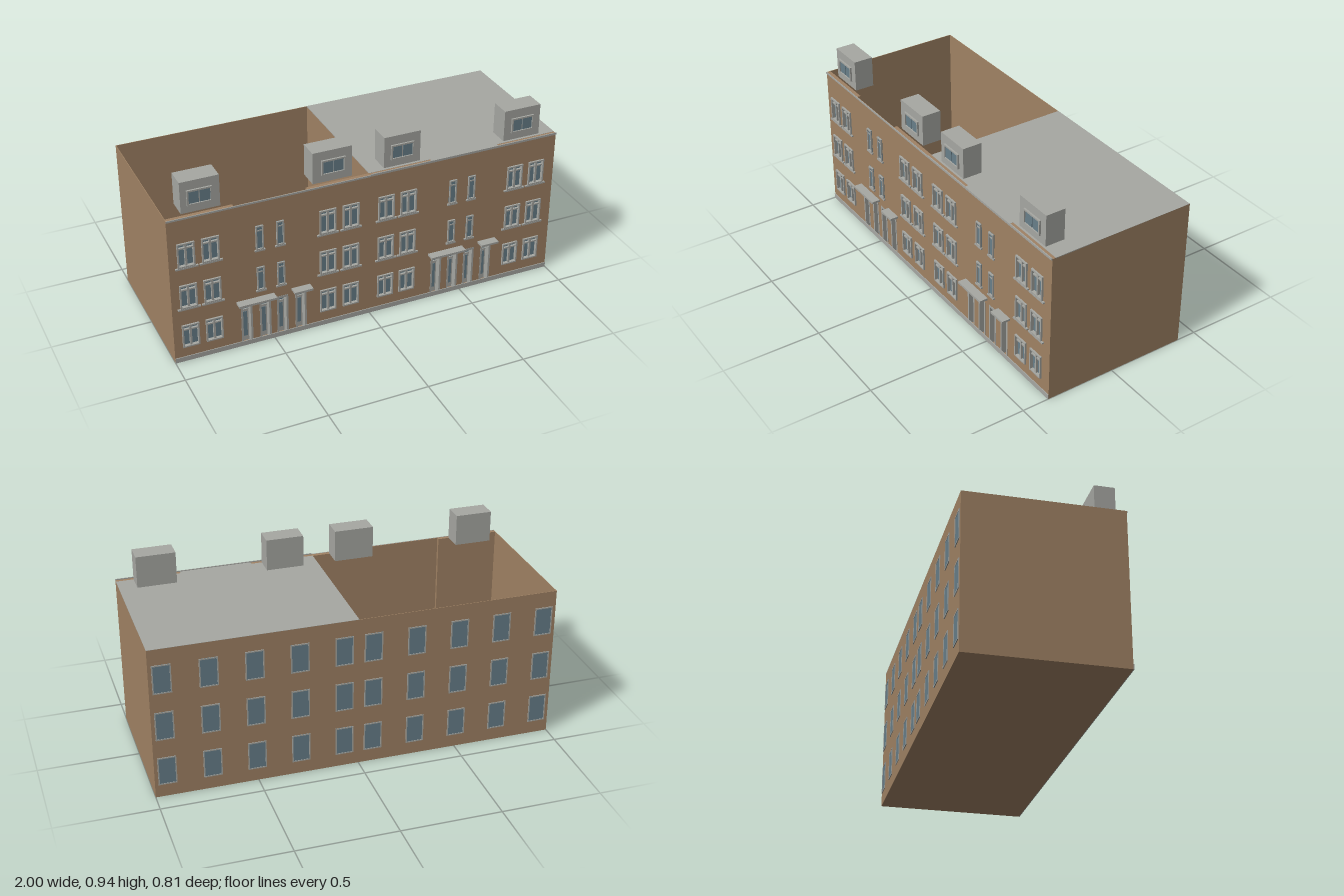
import * as THREE from 'three';

const mat = (name, color, side = THREE.FrontSide) => {
  const m = new THREE.MeshStandardMaterial({ color, side });
  m.name = name;
  return m;
};

export function createModel() {
  const brick = mat('brick', 0xa08264, THREE.DoubleSide);
  const stone = mat('stone', 0xa6a7a2);
  const glass = mat('glass', 0x687f8a);
  const root = new THREE.Group();
  root.name = 'terraceBuilding';

  // Box given by its minimum and maximum corners
  const box = (parent, name, m, x0, x1, y0, y1, z0, z1) => {
    const mesh = new THREE.Mesh(new THREE.BoxGeometry(x1 - x0, y1 - y0, z1 - z0), m);
    mesh.position.set((x0 + x1) / 2, (y0 + y1) / 2, (z0 + z1) / 2);
    mesh.name = name;
    parent.add(mesh);
    return mesh;
  };
  const group = (name) => {
    const g = new THREE.Group();
    g.name = name;
    root.add(g);
    return g;
  };
  // Rectangular ring of bars
  const frame = (g, name, x0, x1, y0, y1, z0, z1, t) => {
    box(g, name, stone, x0, x0 + t, y0, y1, z0, z1);
    box(g, name, stone, x1 - t, x1, y0, y1, z0, z1);
    box(g, name, stone, x0 + t, x1 - t, y0, y0 + t, z0, z1);
    box(g, name, stone, x0 + t, x1 - t, y1 - t, y1, z0, z1);
  };

  const F = 0.36, B = -0.4, H = 0.78, T = 0.003;
  const wide = [-0.917, -0.8, -0.22, -0.101, 0.083, 0.2, 0.78, 0.899];
  const narrow = [-0.562, -0.46, 0.438, 0.54];
  const doors = [-0.637, -0.543, -0.455, -0.361, 0.363, 0.455, 0.545, 0.641];
  const rows = [[0.08, 0.204], [0.298, 0.425], [0.522, 0.65]];
  const WW = 0.042, DW = 0.029, DH = 0.23;

  // Shell: floor, ends, back and the wall between the two halves
  box(root, 'floor', brick, -1, 1, 0, T, B, F);
  box(root, 'backWall', brick, -1, 1, 0, H, B, B + T);
  for (const s of [-1, 1]) {
    box(root, 'endWall', brick, s < 0 ? -1 : 1 - T, s < 0 ? -1 + T : 1, 0, H, B, F);
  }
  box(root, 'partyWall', brick, 0, T, 0, H, B + T, F - 0.02);

  // Front wall: thick bays with window openings, thin entrance bays with door openings
  const bays = [[-1, -0.68, 0], [-0.68, -0.32, 1], [-0.32, 0.32, 0], [0.32, 0.68, 1], [0.68, 1, 0]];
  for (const [x0, x1, entrance] of bays) {
    const rect = (P, a, b, c, d) => {
      const p = new P();
      p.moveTo(a, c); p.lineTo(b, c); p.lineTo(b, d); p.lineTo(a, d); p.closePath();
      return p;
    };
    const shape = rect(THREE.Shape, x0, x1, 0, H);
    const inside = (x) => x > x0 && x < x1;
    if (entrance) {
      for (const x of doors.filter(inside)) {
        shape.holes.push(rect(THREE.Path, x - DW, x + DW, 0.002, DH));
      }
    } else {
      for (const x of wide.filter(inside)) {
        for (const [a, b] of rows) shape.holes.push(rect(THREE.Path, x - WW, x + WW, a, b));
      }
      box(root, 'frontWallLining', brick, x0, x1, 0, H, F - 0.02, F - 0.017);
    }
    const depth = entrance ? T : 0.017;
    const wall = new THREE.Mesh(new THREE.ExtrudeGeometry(shape, { depth, bevelEnabled: false }), brick);
    wall.position.z = F - depth;
    wall.name = entrance ? 'entranceWall' : 'frontWall';
    root.add(wall);
  }

  // Roof over one half, stepping forward above the entrance
  box(root, 'roof', stone, 0, 1, H - T, H + 0.001, B, F - 0.018);
  box(root, 'roofEntranceEdge', stone, 0.32, 0.68, H - T, H + 0.001, F - 0.018, F);
  box(root, 'cornice', stone, -1, 0, H - 0.008, H + 0.001, F, F + 0.004);
  box(root, 'cornice', stone, 0, 1, H - 0.006, H + 0.005, F, F + 0.005);
  box(root, 'plinth', stone, -1, 1, 0, 0.025, F, F + 0.004);

  // Wide front windows with mullion, transom and sill
  for (const x of wide) {
    rows.forEach(([a, b], i) => {
      const g = group('frontWindow');
      box(g, 'pane', glass, x - WW, x + WW, a, b, F - 0.012, F - 0.008);
      frame(g, 'windowFrame', x - WW, x + WW, a, b, F - 0.008, F + 0.009, 0.007);
      box(g, 'mullion', stone, x - 0.005, x + 0.005, a, b, F - 0.008, F + 0.004);
      box(g, 'transom', stone, x - WW, x + WW, b - 0.032, b - 0.025, F - 0.008, F + 0.003);
      if (i) box(g, 'sill', stone, x - 0.055, x + 0.055, a - 0.008, a, F, F + 0.01);
    });
  }

  // Narrow stair windows on the upper floors
  for (const x of narrow) {
    for (const [a, b] of rows.slice(1)) {
      const g = group('stairWindow');
      box(g, 'pane', glass, x - 0.019, x + 0.019, a, b, F, F + 0.002);
      frame(g, 'windowFrame', x - 0.019, x + 0.019, a, b, F, F + 0.009, 0.006);
      box(g, 'transom', stone, x - 0.019, x + 0.019, b - 0.03, b - 0.024, F, F + 0.005);
      box(g, 'sill', stone, x - 0.026, x + 0.026, a - 0.008, a, F, F + 0.01);
    }
  }

  // Recessed doors, each in a small brick box behind the wall
  for (const x of doors) {
    const g = group('doorway');
    const z0 = F - 0.04, z1 = F - T;
    box(g, 'recessBack', brick, x - DW, x + DW, 0, DH, z0, z0 + 0.002);
    box(g, 'recessTop', brick, x - DW, x + DW, DH, DH + 0.002, z0, z1);
    for (const s of [-1, 1]) {
      box(g, 'recessSide', brick, x + s * DW - 0.001, x + s * DW + 0.001, 0, DH, z0, z1);
      box(g, 'doorJamb', stone, x + s * 0.024 - 0.005, x + s * 0.024 + 0.005, 0.002, DH, z0 + 0.002, F + 0.001);
    }
    box(g, 'doorHead', stone, x - 0.019, x + 0.019, DH - 0.012, DH, z0 + 0.002, F + 0.001);
    box(g, 'doorLeaf', stone, x - 0.019, x + 0.019, 0.002, 0.178, z0 + 0.002, z0 + 0.008);
    box(g, 'doorGlass', glass, x - 0.012, x + 0.012, 0.03, 0.17, z0 + 0.008, z0 + 0.01);
    box(g, 'fanlight', glass, x - 0.019, x + 0.019, 0.186, 0.218, z0 + 0.002, z0 + 0.006);
    box(g, 'doorTransom', stone, x - 0.019, x + 0.019, 0.178, 0.186, z0 + 0.002, z0 + 0.012);
  }
  for (const [a, b] of [[-0.687, -0.497], [-0.408, -0.313], [0.317, 0.505], [0.594, 0.69]]) {
    box(root, 'canopy', stone, a, b, 0.247, 0.258, F, F + 0.044);
  }

  // Rooftop dormers with paired panes
  for (const [a, b, c] of [[-0.92, -0.733, -0.83], [-0.283, -0.085, -0.18], [0.08, 0.268, 0.174], [0.72, 0.915, 0.818]]) {
    const g = group('dormer');
    box(g, 'dormerBody', stone, a, b, 0.785, 0.945, 0.235, 0.335);
    frame(g, 'dormerFrame', c - 0.06, c + 0.06, 0.822, 0.9, 0.335, 0.344, 0.008);
    for (const s of [-1, 1]) {
      box(g, 'dormerPane', glass, c + s * 0.0275 - 0.0245, c + s * 0.0275 + 0.0245, 0.83, 0.892, 0.335, 0.338);
    }
  }

  // Back windows, mirrored about the middle
  for (const cx of [0.072, 0.288, 0.504, 0.72, 0.938]) {
    for (const s of [-1, 1]) {
      for (const [a, b] of [[0.066, 0.212], [0.308, 0.455], [0.552, 0.7]]) {
        const g = group('backWindow'), x = cx * s;
        box(g, 'pane', glass, x - 0.043, x + 0.043, a, b, B - 0.002, B);
        frame(g, 'windowFrame', x - 0.045, x + 0.045, a, b, B - 0.004, B, 0.006);
      }
    }
  }
  return root;
}
